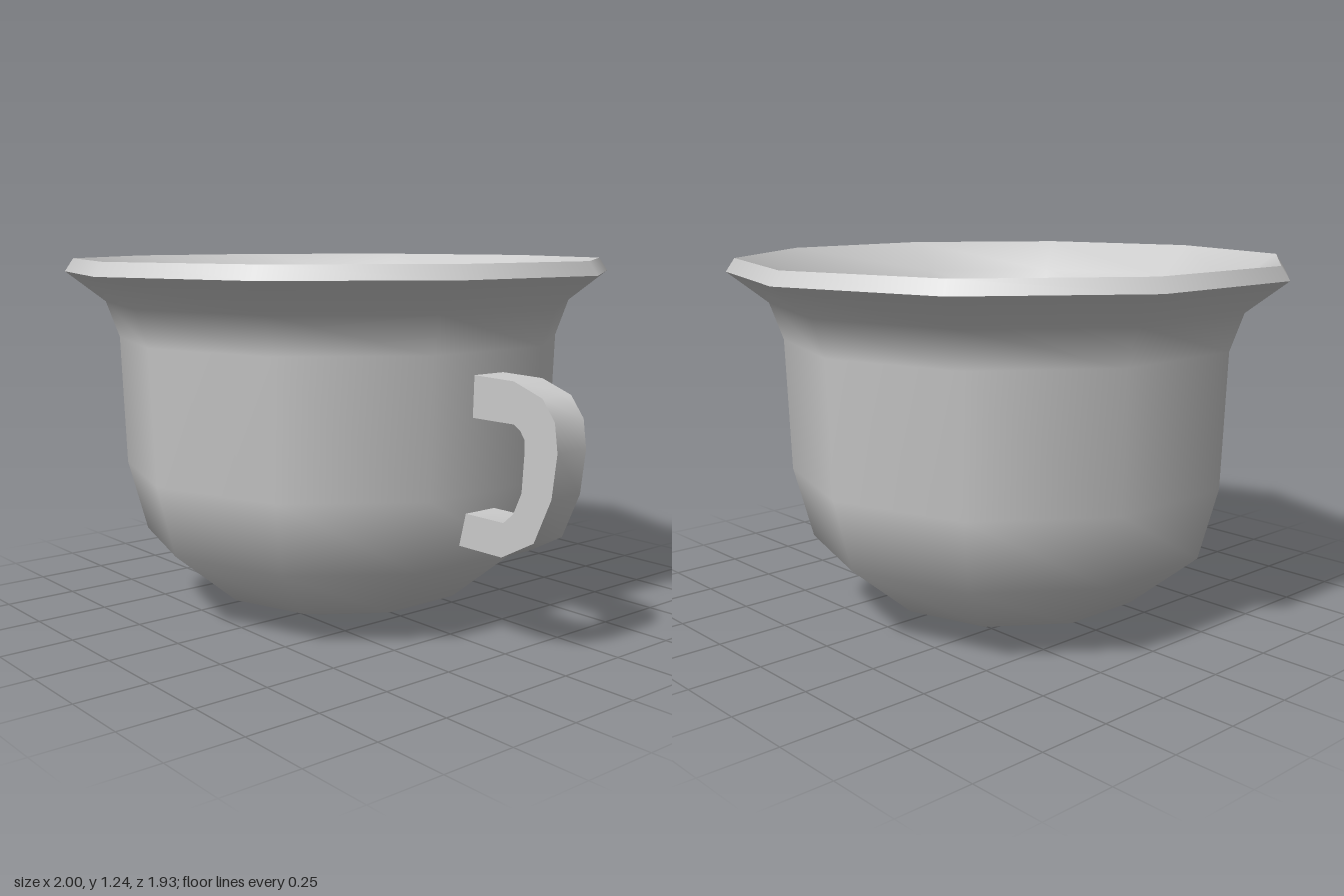
import * as THREE from 'three';

const SIDES = 10;
const CENTRE_X = -0.083;

// A swept bar with a rectangular section: smooth along its length, sharp at its four corners.
function sweptBar(outer, inner, halfDepth) {
  const positions = [], indices = [];
  const rings = outer.map(([ox, oy], i) => {
    const [ix, iy] = inner[i];
    return [[ox, oy, -halfDepth], [ox, oy, halfDepth], [ix, iy, halfDepth], [ix, iy, -halfDepth]];
  });
  for (let side = 0; side < 4; side++) {
    const start = positions.length / 3;
    rings.forEach((ring, i) => {
      positions.push(...ring[side], ...ring[(side + 1) % 4]);
      if (i === rings.length - 1) return;
      const a = start + i * 2;
      indices.push(a, a + 1, a + 2, a + 1, a + 3, a + 2);
    });
  }
  const geometry = new THREE.BufferGeometry();
  geometry.setAttribute('position', new THREE.Float32BufferAttribute(positions, 3));
  geometry.setIndex(indices);
  geometry.computeVertexNormals();
  return geometry;
}

export function createModel() {
  const group = new THREE.Group();
  const material = new THREE.MeshStandardMaterial({ color: 0xcccccc, side: THREE.DoubleSide });

  const add = (name, geometry) => {
    const mesh = new THREE.Mesh(geometry, material);
    mesh.name = name;
    group.add(mesh);
    return mesh;
  };
  const turned = (name, profile) => {
    const points = profile.map(([r, y]) => new THREE.Vector2(r, y));
    add(name, new THREE.LatheGeometry(points, SIDES)).position.x = CENTRE_X;
  };

  // Ten-sided bowl: outside with base, bevelled lip, inside
  turned('outerWall', [
    [0, 0], [0.247, 0], [0.465, 0.07], [0.7, 0.265], [0.765, 0.51],
    [0.78, 0.96], [0.825, 1.085], [0.963, 1.19],
  ]);
  turned('lip', [[0.963, 1.19], [0.933, 1.235]]);
  turned('innerWall', [
    [0.933, 1.235], [0.775, 1.13], [0.7, 1.0], [0.672, 0.88], [0.67, 0.53],
    [0.61, 0.31], [0.4, 0.14], [0.2, 0.09], [0, 0.09],
  ]);

  // Handle on the left side, from its upper root round to its lower root
  const handleOuter = [
    [0.61, 0.89], [0.82, 0.885], [0.935, 0.845], [0.985, 0.78], [0.998, 0.69],
    [0.98, 0.55], [0.915, 0.405], [0.785, 0.335], [0.575, 0.335],
  ];
  const handleInner = [
    [0.61, 0.755], [0.825, 0.755], [0.85, 0.74], [0.868, 0.715], [0.87, 0.67],
    [0.862, 0.55], [0.83, 0.48], [0.79, 0.445], [0.575, 0.445],
  ];
  add('handle', sweptBar(handleOuter, handleInner, 0.064));

  return group;
}
